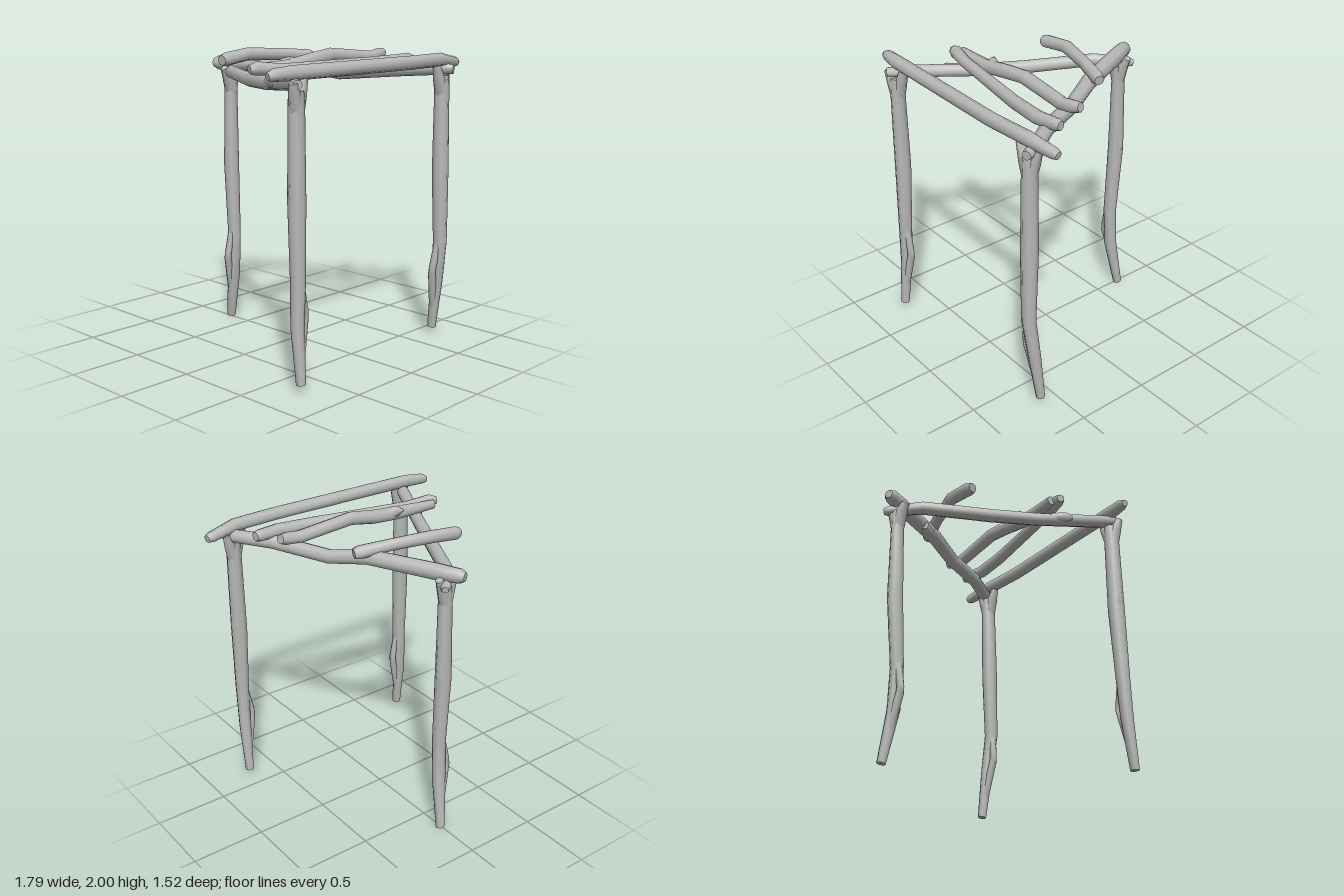
import * as THREE from 'three';

const wood = new THREE.MeshStandardMaterial({ color: 0xb8b8b8 });
wood.name = 'grey wood';

// Branch swept through points [x, y, z, radius], with flat cut ends
function branch(name, pts, ref = [0, 1, 0], sides = 8) {
  const P = pts.map(p => new THREE.Vector3(p[0], p[1], p[2]));
  const up = new THREE.Vector3(...ref);
  const pos = [], idx = [], n = P.length;
  P.forEach((c, i) => {
    const t = P[Math.min(i + 1, n - 1)].clone().sub(P[Math.max(i - 1, 0)]).normalize();
    const u = up.clone().cross(t).normalize();
    const v = t.clone().cross(u);
    for (let k = 0; k < sides; k++) {
      const a = (k / sides) * Math.PI * 2;
      const q = c.clone().addScaledVector(u, Math.cos(a) * pts[i][3]).addScaledVector(v, Math.sin(a) * pts[i][3]);
      pos.push(q.x, q.y, q.z);
    }
  });
  for (let i = 0; i < n - 1; i++) {
    for (let k = 0; k < sides; k++) {
      const a = i * sides + k, b = i * sides + (k + 1) % sides;
      idx.push(a, b, a + sides, b, b + sides, a + sides);
    }
  }
  // End caps use their own vertices so the cuts stay crisp
  for (const end of [0, n - 1]) {
    const base = pos.length / 3;
    pos.push(...pos.slice(end * sides * 3, (end + 1) * sides * 3));
    for (let k = 1; k < sides - 1; k++) {
      if (end === 0) idx.push(base, base + k + 1, base + k);
      else idx.push(base, base + k, base + k + 1);
    }
  }
  const g = new THREE.BufferGeometry();
  g.setAttribute('position', new THREE.Float32BufferAttribute(pos, 3));
  g.setIndex(idx);
  g.computeVertexNormals();
  const m = new THREE.Mesh(g, wood);
  m.name = name;
  return m;
}

// Leg: trunk, knot near the foot, cut twig stub and forked top
function leg(name, trunk, knotSide, stubSide, stubY, prongs) {
  const group = new THREE.Group();
  group.name = name;
  const Z = [0, 0, 1];
  const at = y => {
    let i = 0;
    while (i < trunk.length - 2 && trunk[i + 1][1] < y) i++;
    const a = trunk[i], b = trunk[i + 1], f = (y - a[1]) / (b[1] - a[1]);
    return a.map((v, j) => v + (b[j] - v) * f);
  };
  const off = (y, dx, r) => { const p = at(y); return [p[0] + dx, y, p[2], r]; };
  group.add(branch('trunk', trunk, Z));
  group.add(branch('knot', [off(0.16, 0, 0.027), off(0.46, knotSide * 0.06, 0.026), off(0.5, knotSide * 0.06, 0.024), off(0.7, knotSide * 0.014, 0.026)], Z, 6));
  group.add(branch('twigStub', [off(stubY - 0.03, stubSide * 0.012, 0.036), off(stubY, stubSide * 0.025, 0.036), off(1.65, stubSide * 0.008, 0.03)], Z, 6));
  const top = at(1.7);
  for (const [x, y, z] of prongs) {
    group.add(branch('forkProng', [
      [top[0], 1.66, top[2], 0.044],
      [(top[0] + x) / 2, 1.78, (top[2] + z) / 2, 0.04],
      [x, y, z, 0.026]], Z, 6));
  }
  return group;
}

export function createModel() {
  const model = new THREE.Group();
  model.name = 'branchFrame';

  // Three legs
  model.add(leg('frontRightLeg', [
    [-0.72, 0.055, 0.73, 0.03], [-0.715, 0.4, 0.695, 0.042], [-0.705, 0.68, 0.69, 0.047],
    [-0.7, 1.17, 0.675, 0.056], [-0.7, 1.74, 0.672, 0.05], [-0.7, 1.81, 0.67, 0.046]],
  1, -1, 1.2, [[-0.755, 1.86, 0.7], [-0.625, 1.89, 0.66]]));
  model.add(leg('frontLeftLeg', [
    [0.71, 0.055, 0.62, 0.03], [0.7, 0.4, 0.66, 0.042], [0.685, 0.68, 0.69, 0.047],
    [0.683, 1.17, 0.678, 0.056], [0.685, 1.74, 0.672, 0.05], [0.685, 1.81, 0.67, 0.046]],
  -1, 1, 1.2, [[0.61, 1.88, 0.68], [0.745, 1.87, 0.65]]));
  model.add(leg('backLeg', [
    [0.01, 0.01, -0.685, 0.03], [-0.015, 0.36, -0.625, 0.044], [-0.018, 0.65, -0.612, 0.045],
    [-0.012, 1.15, -0.64, 0.053], [-0.01, 1.7, -0.638, 0.044], [-0.01, 1.78, -0.635, 0.042]],
  -1, 1, 1.17, [[-0.085, 1.83, -0.625], [0.055, 1.84, -0.655]]));

  // Triangular top rails
  model.add(branch('frontRail', [
    [-0.89, 1.9, 0.63, 0.024], [-0.85, 1.908, 0.637, 0.038], [-0.72, 1.913, 0.655, 0.045],
    [0.35, 1.913, 0.685, 0.045], [0.66, 1.915, 0.67, 0.045], [0.86, 1.888, 0.638, 0.036], [0.89, 1.883, 0.632, 0.026]]));
  model.add(branch('leftRail', [
    [0.73, 1.85, 0.73, 0.03], [0.68, 1.855, 0.62, 0.046], [0.53, 1.845, 0.42, 0.048],
    [0.34, 1.815, 0.07, 0.048], [0.22, 1.865, -0.17, 0.052], [0.01, 1.86, -0.6, 0.055],
    [-0.05, 1.86, -0.72, 0.048], [-0.065, 1.86, -0.75, 0.03]]));
  model.add(branch('leftRailStub', [[0.19, 1.85, -0.2, 0.03], [0.115, 1.84, -0.33, 0.042], [0.085, 1.835, -0.355, 0.03]], [0, 1, 0], 6));
  model.add(branch('rightRail', [
    [-0.74, 1.85, 0.72, 0.03], [-0.68, 1.85, 0.62, 0.044], [-0.48, 1.81, 0.2, 0.044],
    [-0.335, 1.8, -0.1, 0.046], [-0.12, 1.812, -0.51, 0.045], [0.03, 1.8, -0.68, 0.036], [0.055, 1.795, -0.71, 0.022]]));
  model.add(branch('rightRailStub', [[-0.53, 1.83, 0.27, 0.03], [-0.585, 1.83, 0.36, 0.036], [-0.61, 1.83, 0.395, 0.02]], [0, 1, 0], 6));

  // Loose crossbars laid over the rails
  model.add(branch('backCrossbar', [
    [-0.395, 1.915, -0.3, 0.034], [-0.36, 1.92, -0.305, 0.045], [-0.16, 1.945, -0.305, 0.043],
    [0.1, 1.935, -0.235, 0.04], [0.29, 1.915, -0.175, 0.045], [0.325, 1.91, -0.165, 0.034]]));
  model.add(branch('middleCrossbar', [
    [-0.61, 1.9, 0.21, 0.032], [-0.32, 1.9, 0.235, 0.047], [-0.12, 1.925, 0.215, 0.048],
    [0.07, 1.955, 0.225, 0.045], [0.45, 1.92, 0.24, 0.042], [0.55, 1.935, 0.235, 0.042], [0.6, 1.945, 0.225, 0.03]]));
  model.add(branch('middleCrossbarStub', [[-0.22, 1.915, 0.225, 0.04], [-0.29, 1.93, 0.2, 0.036], [-0.325, 1.94, 0.165, 0.006]], [0, 1, 0], 6));
  model.add(branch('frontCrossbar', [
    [-0.665, 1.905, 0.245, 0.027], [-0.62, 1.91, 0.26, 0.043], [-0.45, 1.895, 0.295, 0.037],
    [0.22, 1.9, 0.42, 0.042], [0.48, 1.905, 0.45, 0.044], [0.63, 1.91, 0.43, 0.04], [0.66, 1.91, 0.425, 0.03]]));
  return model;
}
